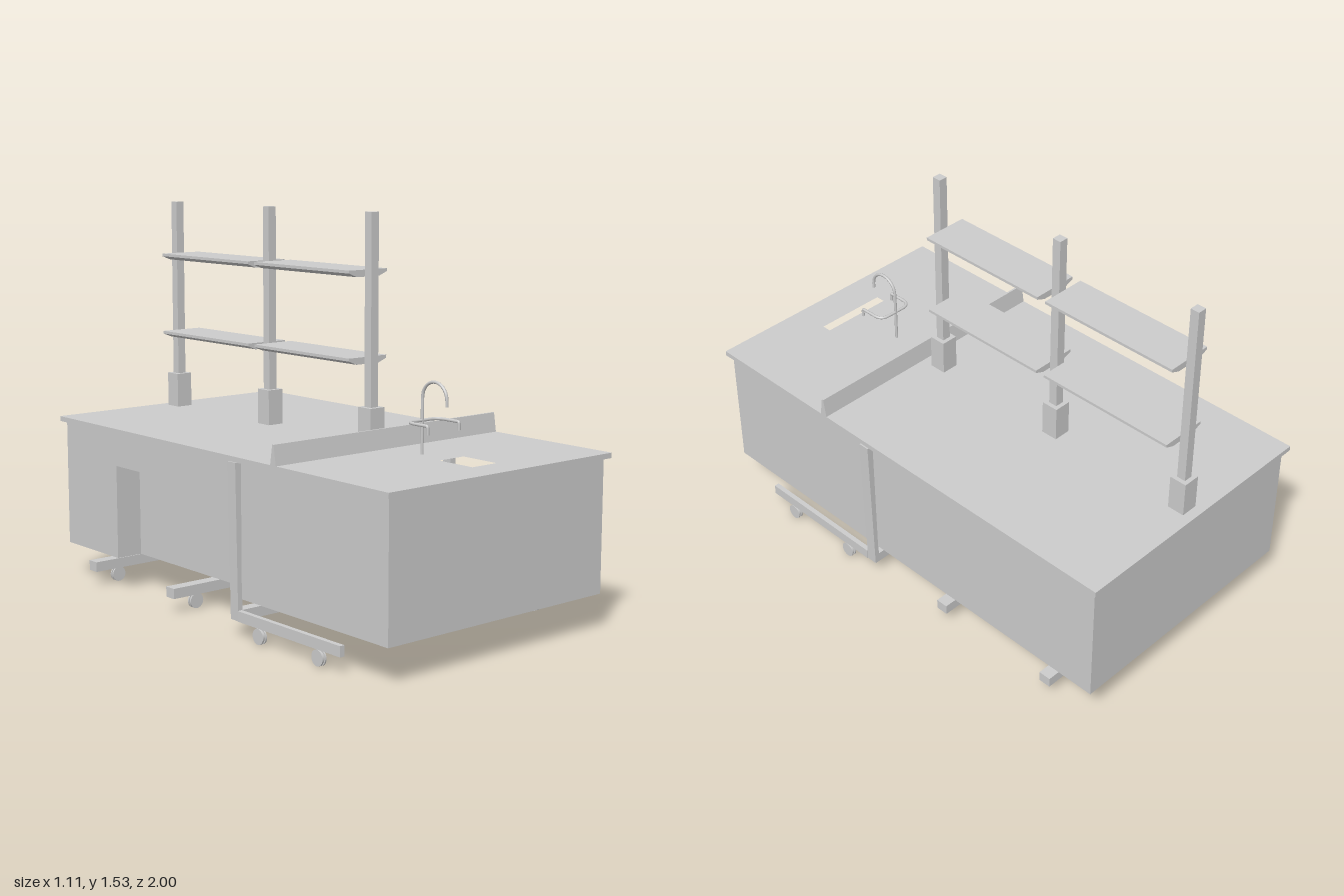
import * as THREE from 'three';

const mat = new THREE.MeshStandardMaterial({ color: 0xcccccc });

export function createModel() {
  const root = new THREE.Group();

  const add = (name, geo, x = 0, y = 0, z = 0, parent = root) => {
    const mesh = new THREE.Mesh(geo, mat);
    mesh.name = name;
    mesh.position.set(x, y, z);
    parent.add(mesh);
    return mesh;
  };
  // box given by its extents on each axis
  const box = (name, [x0, x1], [y0, y1], [z0, z1], parent) =>
    add(name, new THREE.BoxGeometry(x1 - x0, y1 - y0, z1 - z0),
      (x0 + x1) / 2, (y0 + y1) / 2, (z0 + z1) / 2, parent);
  const poly = pts => pts.map(p => new THREE.Vector2(...p));
  const rect = (x0, x1, z0, z1) => poly([[x0, z0], [x1, z0], [x1, z1], [x0, z1]]);
  // horizontal slab: plan outline in x,z raised from y0 to y1, optional hole
  const slab = (name, outline, y0, y1, hole) => {
    const flip = pts => pts.map(p => new THREE.Vector2(p.x, -p.y));
    const shape = new THREE.Shape(flip(outline));
    if (hole) shape.holes.push(new THREE.Path(flip(hole)));
    const geo = new THREE.ExtrudeGeometry(shape, { depth: y1 - y0, bevelEnabled: false });
    geo.rotateX(-Math.PI / 2);
    return add(name, geo, 0, y0, 0);
  };
  // cross-section in x,y run along z from z0 to z1
  const bar = (name, pts, z0, z1, y = 0, parent = root) =>
    add(name, new THREE.ExtrudeGeometry(new THREE.Shape(poly(pts)),
      { depth: z1 - z0, bevelEnabled: false }), 0, y, z0, parent);

  // worktop and cabinet: sink opening above, knee recess on the -x side below
  const sink = rect(-0.16, 0.16, 0.63, 0.87);
  slab('worktop', rect(-0.55, 0.55, -1, 1), 0.65, 0.67, sink);
  slab('cabinetUpper', rect(-0.53, 0.53, -0.98, 0.98), 0.515, 0.65, sink);
  slab('cabinetLower', poly([
    [-0.53, -0.98], [0.53, -0.98], [0.53, 0.98], [-0.53, 0.98],
    [-0.53, 0.145], [-0.42, 0.145], [-0.42, -0.62], [-0.53, -0.62],
  ]), 0.14, 0.515);

  // tapered splash guard across the worktop
  const guard = new THREE.ExtrudeGeometry(
    new THREE.Shape(poly([[-0.016, 0], [0.016, 0], [0.004, 0.075], [-0.004, 0.075]])),
    { depth: 1.1, bevelEnabled: false });
  guard.translate(0, 0, -0.55).rotateY(Math.PI / 2);
  add('splashGuard', guard, 0, 0.67, 0.4);

  // shelf uprights with socket blocks
  for (const z of [0.3, -0.305, -0.925]) {
    box('uprightBase', [-0.035, 0.035], [0.67, 0.81], [z - 0.035, z + 0.035]);
    box('upright', [-0.018, 0.018], [0.81, 1.535], [z - 0.018, z + 0.018]);
  }

  // shelves with bevelled undersides
  const shelfProfile = [[-0.055, -0.026], [0.055, -0.026], [0.093, -0.011],
    [0.093, 0], [-0.093, 0], [-0.093, -0.011]];
  for (const y of [0.997, 1.322])
    for (const [z0, z1] of [[-0.287, 0.28], [-0.907, -0.325]])
      bar('shelf', shelfProfile, z0, z1, y);

  // faucet: gooseneck spout and a rounded U-shaped side outlet
  const faucet = new THREE.Group();
  faucet.name = 'faucet';
  root.add(faucet);
  const V = (x, y, z) => new THREE.Vector3(x, y, z);
  const pipe = (name, path, segments) =>
    add(name, new THREE.TubeGeometry(path, segments, 0.006, 8), 0, 0, 0, faucet);
  const neck = new THREE.CurvePath();
  neck.add(new THREE.LineCurve3(V(0, 0.67, 0.577), V(0, 0.878, 0.577)));
  const arc = [];
  for (let i = 0; i <= 8; i++) {
    const a = Math.PI * i / 8;
    arc.push(V(0, 0.878 + 0.063 * Math.sin(a), 0.64 - 0.063 * Math.cos(a)));
  }
  neck.add(new THREE.CatmullRomCurve3(arc));
  neck.add(new THREE.LineCurve3(V(0, 0.878, 0.703), V(0, 0.86, 0.703)));
  pipe('spout', neck, 48);
  const arms = new THREE.CurvePath();
  const corners = [[-0.078, 0.77, 0.687], [-0.078, 0.795, 0.687], [-0.078, 0.795, 0.577],
    [0.078, 0.795, 0.577], [0.078, 0.795, 0.687], [0.078, 0.77, 0.687]].map(p => V(...p));
  const radii = [0, 0.006, 0.04, 0.04, 0.006, 0];
  let last = corners[0];
  for (let i = 1; i < corners.length - 1; i++) {
    const c = corners[i];
    const toward = p => c.clone().add(p.clone().sub(c).setLength(radii[i]));
    const a = toward(corners[i - 1]), b = toward(corners[i + 1]);
    arms.add(new THREE.LineCurve3(last, a));
    arms.add(new THREE.QuadraticBezierCurve3(a, c, b));
    last = b;
  }
  arms.add(new THREE.LineCurve3(last, corners[5]));
  pipe('sideOutlets', arms, 80);
  for (const x of [-0.078, 0.078])
    add('outletTip', new THREE.CylinderGeometry(0.006, 0.006, 0.01, 8), x, 0.768, 0.687, faucet);
  add('spoutTip', new THREE.CylinderGeometry(0.006, 0.006, 0.01, 8), 0, 0.862, 0.703, faucet);

  // grooved caster; axis along z, or along x when turned
  const caster = (x, z, turned) => {
    const g = new THREE.Group();
    g.name = 'caster';
    g.position.set(x, 0.03, z);
    if (turned) g.rotation.y = Math.PI / 2;
    for (const dz of [-0.0065, 0.0065]) {
      const tread = add('wheel', new THREE.CylinderGeometry(0.03, 0.03, 0.006, 24), 0, 0, dz, g);
      tread.rotation.x = Math.PI / 2;
    }
    const hub = add('hub', new THREE.CylinderGeometry(0.025, 0.025, 0.013, 24), 0, 0, 0, g);
    hub.rotation.x = Math.PI / 2;
    root.add(g);
  };

  // cross feet under the rear half
  for (const z of [-0.235, -0.775]) {
    box('crossFoot', [-0.55, 0.55], [0.06, 0.1], [z - 0.025, z + 0.025]);
    for (const x of [-0.43, 0.41]) caster(x, z, false);
  }

  // side frames: slightly tapered posts, forward feet, joined by a crossbar
  for (const s of [-1, 1]) {
    const profile = [[0.528, 0.06], [0.547, 0.06], [0.556, 0.65], [0.528, 0.65]];
    const pts = profile.map(([x, y]) => [s * x, y]);
    bar('framePost', pts, 0.145, 0.19);
    box('frameFoot', s > 0 ? [0.53, 0.55] : [-0.55, -0.53], [0.06, 0.1], [0.19, 0.76]);
    for (const z of [0.31, 0.64]) caster(s * 0.542, z, true);
  }
  box('frameCrossbar', [-0.53, 0.53], [0.06, 0.1], [0.145, 0.19]);

  return root;
}
